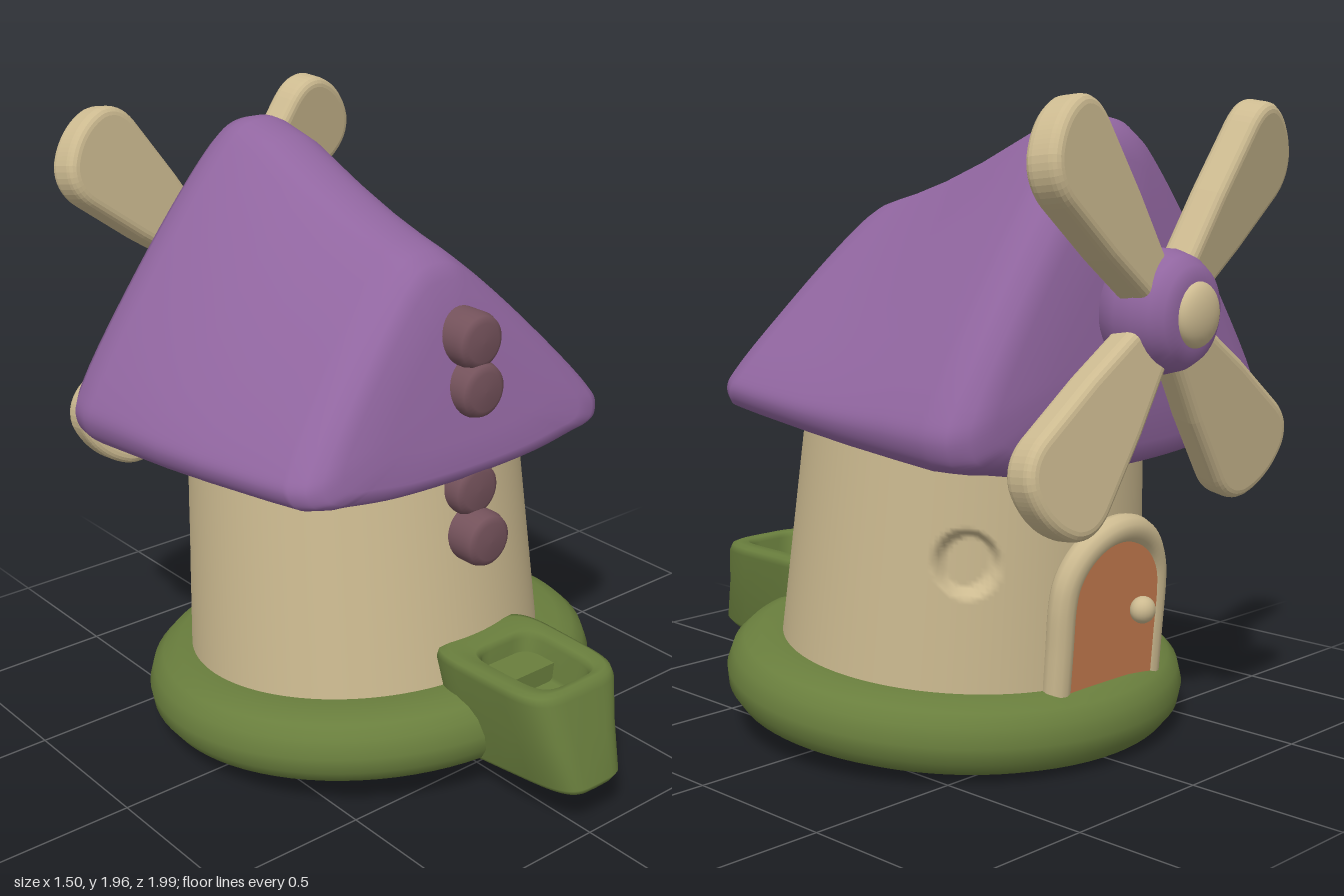
import * as THREE from 'three';

const mat = (name, color) => {
  const m = new THREE.MeshStandardMaterial({ color });
  m.name = name;
  return m;
};
const purple = mat('purple', 0x9166a0);
const cream = mat('cream', 0xccba90);
const green = mat('green', 0x697e3d);
const brown = mat('brown', 0x74525b);
const orange = mat('orange', 0xca7e50);

const v2 = (pts) => pts.map(([x, y]) => new THREE.Vector2(x, y));

function add(parent, name, geometry, material, x = 0, y = 0, z = 0) {
  const mesh = new THREE.Mesh(geometry, material);
  mesh.name = name;
  mesh.position.set(x, y, z);
  parent.add(mesh);
  return mesh;
}

// Skin a list of equal closed rings
function loft(rings) {
  const n = rings[0].length, index = [];
  for (let i = 0; i < rings.length - 1; i++) {
    for (let j = 0; j < n; j++) {
      const a = i * n + j, b = i * n + (j + 1) % n;
      index.push(a, a + n, b, b, a + n, b + n);
    }
  }
  const g = new THREE.BufferGeometry();
  g.setAttribute('position', new THREE.Float32BufferAttribute(rings.flat(2), 3));
  g.setIndex(index);
  g.computeVertexNormals();
  return g;
}

// Gable cross-section: the underside points differ for end walls and hollow middle
function gableSection(underside) {
  const half = [...underside.slice(1), [0.97, 0.03], [1, 0.1], [0.95, 0.19], [0.57, 0.6], [0.24, 0.9], [0.12, 0.98]];
  const outline = [underside[0], ...half, [0, 1], ...half.slice().reverse().map(([x, y]) => [-x, y])];
  const curve = new THREE.CatmullRomCurve3(outline.map(([x, y]) => new THREE.Vector3(x, y, 0)), true, 'centripetal');
  return curve.getPoints(108).slice(0, 108);
}

// Round-cornered hollow gable: stations run front to back
function roofGeometry() {
  const solid = gableSection([[0, -0.06], [0.5, -0.045], [0.8, -0.01], [0.89, 0]]);
  const hollow = gableSection([[0, 0.62], [0.45, 0.42], [0.8, 0.1], [0.89, 0]]);
  // [z at eave, z at ridge, ridge y, eave y, half width, scale, section]
  const stations = [
    [0.48, 0.32, 1.66, 1.02, 0.59, 0, solid], [0.48, 0.32, 1.66, 1.02, 0.59, 0.5, solid],
    [0.477, 0.31, 1.66, 1.02, 0.59, 0.8, solid], [0.465, 0.285, 1.66, 1.02, 0.595, 0.91, solid],
    [0.44, 0.24, 1.66, 1.02, 0.60, 0.97, solid], [0.39, 0.18, 1.665, 1.015, 0.61, 1, solid],
    [0.37, 0.16, 1.67, 1.015, 0.612, 1, hollow], [0.25, 0.10, 1.685, 1.005, 0.63, 1, hollow],
    [0, -0.03, 1.725, 0.985, 0.66, 1, hollow], [-0.2, -0.2, 1.79, 0.97, 0.68, 1, hollow],
    [-0.4, -0.4, 1.88, 0.955, 0.69, 1, hollow], [-0.56, -0.54, 1.915, 0.945, 0.70, 1, hollow],
    [-0.59, -0.58, 1.918, 0.943, 0.70, 1, solid], [-0.66, -0.63, 1.915, 0.94, 0.70, 0.985, solid],
    [-0.71, -0.68, 1.91, 0.94, 0.70, 0.93, solid], [-0.73, -0.70, 1.91, 0.94, 0.70, 0.8, solid],
    [-0.745, -0.72, 1.91, 0.94, 0.70, 0.5, solid], [-0.75, -0.73, 1.91, 0.94, 0.70, 0, solid],
  ];
  return loft(stations.map(([zb, zt, top, base, w, s, section]) => section.map((p) => {
    const h = 0.35 + (p.y - 0.35) * s;
    return [-0.025 + p.x * w * s, base + (top - base) * h, zb + (zt - zb) * h];
  })));
}

// Rounded-rectangle ring that tapers to the front; the lowest rings slope down to the back
function troughRing([y, wBack, wFront, z0, z1]) {
  const ring = [], round = (v) => Math.sign(v) * Math.abs(v) ** 0.45;
  const slope = y < 0.2 ? 0.08 : 0;
  for (let i = 0; i < 48; i++) {
    const a = (i / 48) * Math.PI * 2, k = round(Math.sin(a));
    const w = wBack + (wFront - wBack) * (k + 1) / 2;
    const z = (z0 + z1) / 2 + k * (z1 - z0) / 2;
    ring.push([0.038 + w * round(Math.cos(a)), y - slope * (0.98 - z), z]);
  }
  return ring;
}

// Tower wall with two round sunken windows
function wallGeometry() {
  const profile = [];
  for (let i = 0; i <= 72; i++) {
    const t = i / 72;
    profile.push([0.597 - 0.058 * t, 0.1 + 0.9 * t]);
  }
  profile.push([0.525, 1.1], [0.41, 1.25]);
  const g = new THREE.LatheGeometry(v2(profile), 240);
  const p = g.attributes.position;
  for (let i = 0; i < p.count; i++) {
    const x = p.getX(i), y = p.getY(i), z = p.getZ(i), r = Math.hypot(x, z);
    let dent = 0;
    for (const deg of [45, -50]) {
      const turn = Math.atan2(x, -z) - THREE.MathUtils.degToRad(deg);
      dent += 1 - THREE.MathUtils.smoothstep(Math.hypot(turn * r, y - 0.605), 0.08, 0.1);
    }
    const k = 1 - 0.07 * dent;
    p.setXYZ(i, x * k, y, z * k * 0.95);
  }
  g.computeVertexNormals();
  return g;
}

function archShape(w, bottom, spring) {
  const s = new THREE.Shape();
  s.moveTo(-w, bottom);
  s.lineTo(w, bottom);
  s.lineTo(w, spring);
  s.absarc(0, spring, w, 0, Math.PI, false);
  s.closePath();
  return s;
}

function buildDoor(parent) {
  const door = new THREE.Group();
  door.name = 'doorway';
  door.position.x = -0.05;
  parent.add(door);
  const leaf = new THREE.ExtrudeGeometry(archShape(0.2, 0.18, 0.48), { depth: 0.09, bevelEnabled: false, curveSegments: 24 });
  add(door, 'door', leaf, orange, 0, 0, -0.635);
  const path = [[-0.21, 0.18], [-0.21, 0.34]];
  for (let i = 0; i <= 10; i++) {
    const a = Math.PI * (1 - i / 10);
    path.push([0.21 * Math.cos(a), 0.48 + 0.21 * Math.sin(a)]);
  }
  path.push([0.21, 0.34], [0.21, 0.18]);
  const curve = new THREE.CatmullRomCurve3(path.map(([x, y]) => new THREE.Vector3(x, y, -0.62 + 0.02 * (x / 0.2) ** 2)));
  add(door, 'doorFrame', new THREE.TubeGeometry(curve, 60, 0.043, 12), cream);
  const knob = add(door, 'doorKnob', new THREE.SphereGeometry(0.042, 20, 14), cream, -0.09, 0.43, -0.662);
  knob.scale.z = 0.9;
}

function buildSails(parent) {
  const sails = new THREE.Group();
  sails.name = 'sails';
  sails.position.set(-0.033, 1.36, -0.83);
  sails.rotation.set(-0.03, 0.05, 0);
  parent.add(sails);

  // Hub and its end cap
  const hub = new THREE.LatheGeometry(v2([[0, -0.13], [0.12, -0.13], [0.165, -0.1], [0.18, -0.04], [0.18, 0.02],
    [0.165, 0.07], [0.14, 0.105], [0.1, 0.122], [0, 0.125]]), 40).rotateX(-Math.PI / 2);
  add(sails, 'hub', hub, purple);
  add(sails, 'hubCap', new THREE.SphereGeometry(0.095, 28, 16), cream, 0, 0, -0.12).scale.z = 0.45;

  // Four paddle blades with squared tips
  const s = new THREE.Shape();
  s.moveTo(-0.045, 0.1);
  s.lineTo(0.045, 0.1);
  s.lineTo(0.1, 0.36);
  s.lineTo(0.138, 0.6);
  s.quadraticCurveTo(0.148, 0.675, 0.095, 0.71);
  s.quadraticCurveTo(0.05, 0.733, 0, 0.733);
  s.quadraticCurveTo(-0.05, 0.733, -0.095, 0.71);
  s.quadraticCurveTo(-0.148, 0.675, -0.138, 0.6);
  s.lineTo(-0.1, 0.36);
  s.closePath();
  const blade = new THREE.ExtrudeGeometry(s, {
    depth: 0.05, bevelThickness: 0.03, bevelSize: 0.03, bevelSegments: 4, curveSegments: 8,
  }).translate(0, 0, -0.025);
  for (let i = 0; i < 4; i++) {
    const arm = new THREE.Group();
    arm.name = 'sailArm';
    arm.rotation.z = Math.PI / 4 + i * Math.PI / 2;
    sails.add(arm);
    add(arm, 'sailBlade', blade, cream).rotation.y = 0.18;
  }
}

export function createModel() {
  const model = new THREE.Group();
  model.name = 'windmill';

  // Tower leans slightly backward
  const tower = new THREE.Group();
  tower.name = 'tower';
  tower.position.y = 0.063;
  tower.rotation.x = -0.08;
  model.add(tower);

  const base = new THREE.LatheGeometry(v2([[0, 0.045], [0.5, 0.045], [0.53, 0.035], [0.555, 0.003], [0.6, -0.006], [0.66, 0],
    [0.715, 0.025], [0.745, 0.065], [0.752, 0.115], [0.735, 0.17], [0.7, 0.205], [0.65, 0.225], [0.57, 0.23],
    [0.5, 0.22]]), 80);
  add(tower, 'grassBase', base, green, 0, -0.007, -0.03).scale.z = 0.95;
  add(tower, 'wall', wallGeometry(), cream, 0, 0, -0.05);
  buildDoor(tower);

  add(model, 'roof', roofGeometry(), purple);
  buildSails(model);

  // Hollow trough at the front, listed from underside to cavity floor
  const trough = [
    [0.135, 0, 0, 0.7, 0.7], [0.138, 0.14, 0.11, 0.47, 0.985], [0.16, 0.16, 0.13, 0.45, 0.997],
    [0.3, 0.185, 0.16, 0.43, 0.95], [0.425, 0.203, 0.188, 0.41, 0.917], [0.448, 0.198, 0.183, 0.42, 0.905],
    [0.455, 0.18, 0.168, 0.45, 0.89], [0.452, 0.135, 0.125, 0.54, 0.87], [0.435, 0.12, 0.11, 0.555, 0.86],
    [0.34, 0.11, 0.1, 0.56, 0.85], [0.33, 0.1, 0.09, 0.57, 0.84], [0.33, 0, 0, 0.7, 0.7],
  ];
  add(model, 'trough', loft(trough.map(troughRing)), green);
  add(model, 'troughStep', new THREE.BoxGeometry(0.22, 0.06, 0.12), green, 0.038, 0.36, 0.62);

  // Round studs up the front
  const stud = new THREE.LatheGeometry(v2([[0.088, -0.14], [0.088, -0.035], [0.08, -0.012], [0.06, 0], [0, 0.002]]), 32)
    .rotateX(Math.PI / 2);
  for (const [y, z] of [[1.41, 0.468], [1.26, 0.482], [0.935, 0.463], [0.785, 0.52]]) {
    add(model, 'stud', stud, brown, 0.02, y, z);
  }
  return model;
}
